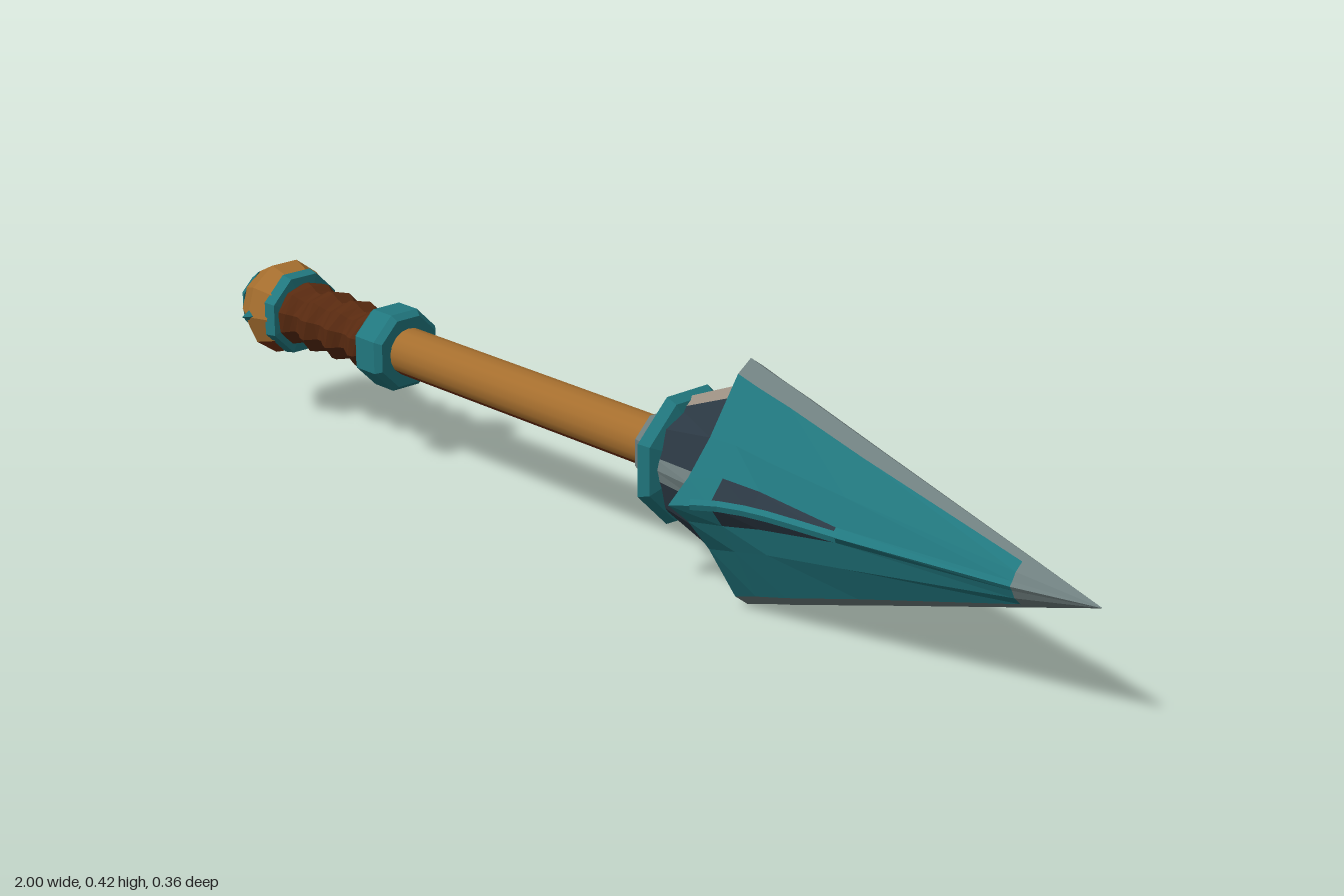
import * as THREE from 'three';

const mat = (name, color) => {
  const m = new THREE.MeshStandardMaterial({ color });
  m.name = name;
  return m;
};

export function createModel() {
  const teal = mat('teal', 0x21777e);
  const tan = mat('tanWood', 0xa56e2e);
  const rust = mat('rustWood', 0x74300f);
  const brown = mat('brownLeather', 0x592a10);
  const dark = mat('darkSlate', 0x2b3843);
  const grey = mat('greyEdge', 0x6f7f7f);
  const cream = mat('paleRib', 0x9c9083);

  const spear = new THREE.Group();
  spear.name = 'spear';
  spear.position.y = 0.222;

  const add = (name, geometry, material) => {
    const mesh = new THREE.Mesh(geometry, material);
    mesh.name = name;
    spear.add(mesh);
    return mesh;
  };
  const flat = (geometry) => {
    const g = geometry.index ? geometry.toNonIndexed() : geometry;
    g.computeVertexNormals();
    return g;
  };
  // Turned part along x from [x, radius] pairs; angle PI / 2 points down
  const turned = (profile, sides = 8, start = Math.PI / 8, sweep = Math.PI * 2) =>
    new THREE.LatheGeometry(profile.map(([x, r]) => new THREE.Vector2(r, x)), sides, start, sweep)
      .rotateZ(-Math.PI / 2);
  const collar = (name, profile, material, sides = 8) =>
    add(name, flat(turned(profile, sides)), material);

  // Shaft and pommel: tan wood with a worn rust underside
  const down = Math.PI / 2, half = 0.9;
  const wood = (name, profile, sides, smooth) => {
    const finish = (g) => (smooth ? g : flat(g));
    add(name, finish(turned(profile, sides, down + half, Math.PI * 2 - 2 * half)), tan);
    add(name + 'Underside', finish(turned(profile, Math.ceil(sides / 3), down - half, 2 * half)), rust);
  };
  wood('shaft', [[-0.58, 0.043], [0.11, 0.043]], 12, true);
  wood('pommel', [[-0.968, 0.064], [-0.92, 0.088], [-0.88, 0.074]], 7, false);

  // Pommel trim
  collar('pommelCap', [[-1, 0], [-1, 0.043], [-0.966, 0.066], [-0.966, 0]], teal);
  collar('pommelRing', [[-0.885, 0], [-0.885, 0.08], [-0.862, 0.076], [-0.858, 0]], teal);
  for (const side of [1, -1]) {
    const stud = add('pommelStud', flat(new THREE.ConeGeometry(0.018, 0.03, 4)), teal);
    stud.position.set(-0.92, 0, side * 0.086);
    stud.rotation.x = side * Math.PI / 2;
  }

  // Leather grip with spiral wrapping
  const gripProfile = [];
  for (let i = 0; i <= 20; i++) gripProfile.push([-0.87 + i * 0.0125, 0.054]);
  const grip = turned(gripProfile, 10);
  const gp = grip.attributes.position;
  for (let i = 0; i < gp.count; i++) {
    const x = gp.getX(i), y = gp.getY(i), z = gp.getZ(i);
    const k = 1 + 0.13 * Math.sin(x * 95 + Math.atan2(z, y)) - 0.5 * (x + 0.75);
    gp.setXYZ(i, x, y * k, z * k);
  }
  add('grip', flat(grip), brown);

  // Collars along the shaft
  collar('gripCollar', [[-0.635, 0], [-0.635, 0.066], [-0.622, 0.076], [-0.572, 0.076], [-0.56, 0.066], [-0.56, 0]], teal);
  collar('neckRing', [[0.08, 0], [0.085, 0.06], [0.1, 0.067], [0.113, 0.058], [0.113, 0]], grey);
  collar('neck', [[0.11, 0], [0.11, 0.054], [0.145, 0.062], [0.145, 0]], rust);
  collar('guard', [[0.13, 0], [0.135, 0.1], [0.148, 0.118], [0.166, 0.108], [0.172, 0.08], [0.172, 0]], teal);

  // Spear head sections: x, ridge height, ridge half width, flank (z, y), crease (z, y), side point
  const sections = [
    [0.15, 0.1, 0.02, 0.065, 0.062, 0.08, 0.018, 0.084],
    [0.272, 0.152, 0.024, 0.07, 0.08, 0.09, 0.022, 0.098],
    [0.29, 0.2, 0.028, 0.088, 0.09, 0.135, 0.035, 0.178],
    [0.335, 0.187, 0.027, 0.076, 0.085, 0.104, 0.038, 0.134],
    [0.4, 0.17, 0.025, 0.07, 0.074, 0.088, 0.03, 0.108],
    [0.55, 0.127, 0.022, 0.058, 0.056, 0.076, 0.012, 0.088],
    [0.86, 0.04, 0.011, 0.025, 0.02, 0.032, 0.007, 0.037],
    [1, 0.0005, 0.0003, 0.0003, 0.0003, 0.0004, 0.0002, 0.0005],
  ];
  const loop = ([x, Y, w, mz, my, dz, dy, Z]) => {
    const quarter = [[Y, 0], [Y - w * 0.7, w], [my, mz], [dy, dz], [0, Z]];
    const points = [];
    for (let j = 0; j < 16; j++) {
      const q = j % 8;
      const [y, z] = quarter[q <= 4 ? q : 8 - q];
      const up = j <= 4 || j >= 12 ? 1 : -1.09;
      points.push([x, y * up, j <= 8 ? z : -z]);
    }
    return points;
  };
  // Strip colours from ridge to side point, for each span between sections
  const spans = [
    [cream, dark, dark, grey],
    [teal, teal, teal, teal],
    [grey, teal, teal, teal],
    [grey, teal, teal, dark],
    [grey, teal, teal, dark],
    [grey, teal, teal, teal],
    [grey, grey, grey, grey],
  ];
  const faces = new Map();
  spans.forEach((colours, i) => {
    const p = loop(sections[i]), n = loop(sections[i + 1]);
    for (let j = 0; j < 16; j++) {
      const q = j % 8, k = (j + 1) % 16;
      const m = colours[q < 4 ? q : 7 - q];
      if (!faces.has(m)) faces.set(m, []);
      faces.get(m).push(...p[j], ...p[k], ...n[k], ...p[j], ...n[k], ...n[j]);
    }
  });
  const headNames = new Map([[teal, 'bladeFaces'], [grey, 'bladeEdges'], [dark, 'headCore'], [cream, 'coreRibs']]);
  for (const [m, list] of faces) {
    const g = new THREE.BufferGeometry();
    g.setAttribute('position', new THREE.Float32BufferAttribute(list, 3));
    g.computeVertexNormals();
    add(headNames.get(m), g, m);
  }

  // Raised spines between the dark creases on both sides of the blade
  for (const side of [1, -1]) {
    const path = new THREE.CatmullRomCurve3([[0.31, 0.15], [0.34, 0.127], [0.4, 0.104], [0.56, 0.082]]
      .map(([x, z]) => new THREE.Vector3(x, 0, side * z)));
    add('bladeSpine', flat(new THREE.TubeGeometry(path, 6, 0.009, 5)), teal);
  }

  const model = new THREE.Group();
  model.name = 'model';
  model.add(spear);
  return model;
}
